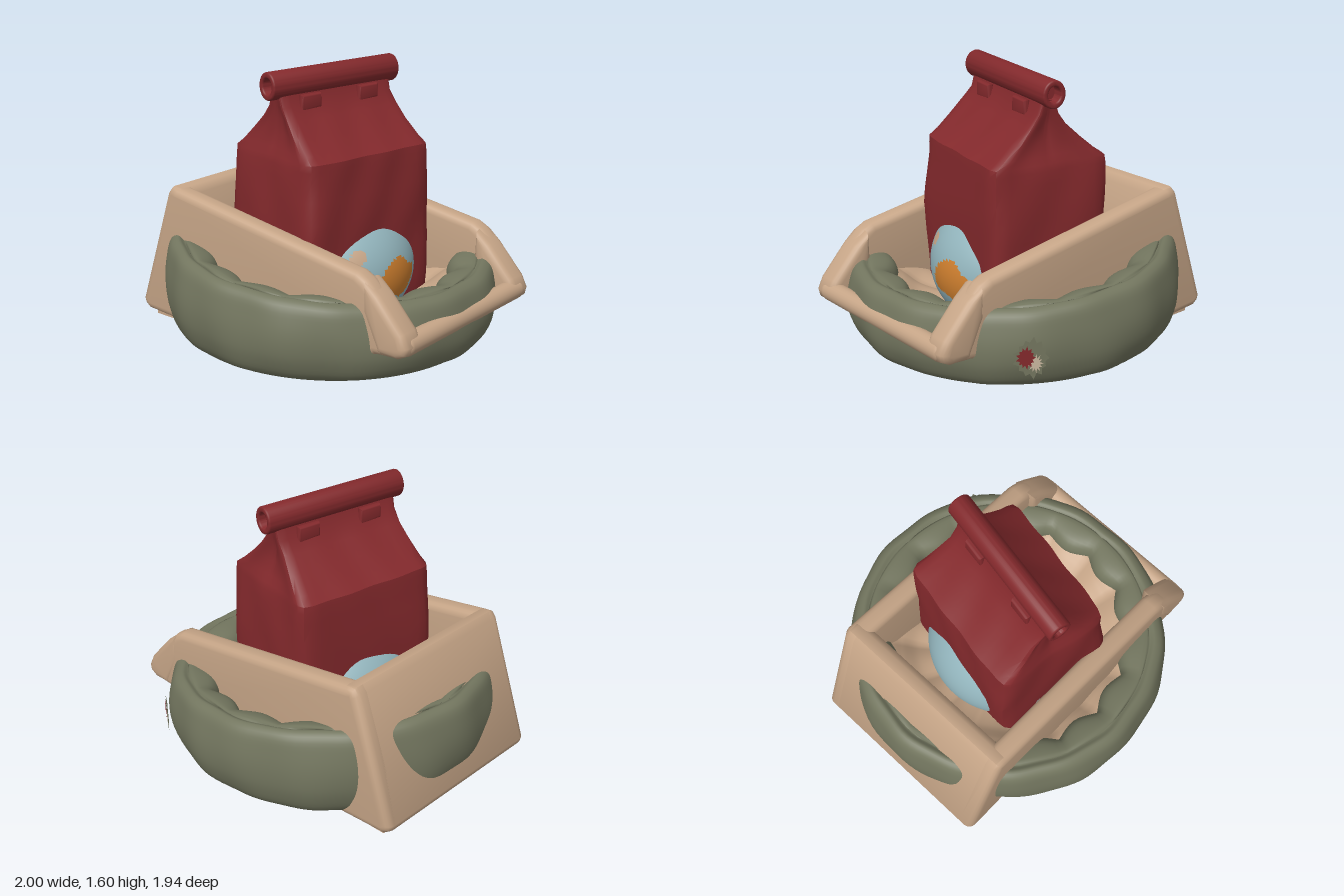
import * as THREE from 'three';
import { mergeVertices, toCreasedNormals } from 'three/addons/utils/BufferGeometryUtils.js';

const mat = (name, color) => {
  const m = new THREE.MeshStandardMaterial({ color, side: THREE.DoubleSide });
  m.name = name;
  return m;
};

export function createModel() {
  const olive = mat('olive cloth', 0x73765f);
  const tan = mat('tan card', 0xc6a587);
  const red = mat('dark red paper', 0x83292c);
  const blue = mat('pale blue', 0x92b4bc);
  const orange = mat('orange', 0xd0802f);
  const cream = mat('cream lining', 0xc9b79f);

  const model = new THREE.Group();
  const add = (name, geo, material, parent = model) => {
    const mesh = new THREE.Mesh(geo, material);
    mesh.name = name;
    parent.add(mesh);
    return mesh;
  };

  // Lathe a smooth profile, then move its vertices by a rule
  const softLathe = (profile, rule) => {
    const curve = new THREE.CatmullRomCurve3(profile.map(([r, y]) => new THREE.Vector3(r, y, 0)), false, 'centripetal');
    const pts = curve.getPoints(56).map(p => new THREE.Vector2(Math.max(0, p.x), p.y));
    let geo = new THREE.LatheGeometry(pts, 128);
    const pos = geo.attributes.position;
    for (let i = 0; i < pos.count; i++) {
      const x = pos.getX(i), y = pos.getY(i), z = pos.getZ(i);
      const r = Math.hypot(x, z), a = Math.atan2(x, z);
      const [r2, y2] = rule(r, y, a);
      const nx = r2 * Math.sin(a) * 1.02;
      // The rim is lower towards +x
      pos.setXYZ(i, nx, y2 - 0.08 * nx * y2 / 0.55, r2 * Math.cos(a));
    }
    geo.deleteAttribute('normal');
    geo.deleteAttribute('uv');
    geo = mergeVertices(geo, 1e-4);
    geo.computeVertexNormals();
    return geo;
  };

  // Padded round bed with a scalloped inner rim
  add('bedCushion', softLathe(
    [[0, 0.02], [0.4, 0.02], [0.78, 0.022], [0.9, 0.06], [0.955, 0.17], [0.97, 0.29], [0.955, 0.415],
      [0.925, 0.505], [0.88, 0.532], [0.845, 0.515], [0.81, 0.52], [0.745, 0.485], [0.715, 0.4], [0.735, 0.27]],
    (r, y, a) => {
      if (y < 0.05) return [r, y];
      if (y > 0.25 && r < 0.84) {
        const lobe = Math.abs(Math.sin(8 * a));
        return [r - 0.045 * lobe * (0.84 - r) / 0.1 + 0.015, y + 0.01 * lobe];
      }
      const fold = Math.sin(17 * a + 5 * y) * 0.004 + Math.sin(9 * a - 7 * y) * 0.004;
      return [r + fold, y];
    }), olive);

  // Bowl-shaped lining with radial creases
  add('bedLining', softLathe(
    [[0.8, 0.41], [0.72, 0.39], [0.65, 0.34], [0.55, 0.26], [0.35, 0.2], [0, 0.18]],
    (r, y, a) => [r, y + 0.035 * Math.abs(Math.sin(8 * a)) * Math.min(1, r / 0.6)]), tan);

  // Card tray: extruded outlines with soft edges
  const slab = (outline, depth, bevel) => {
    const shape = new THREE.Shape(outline.map(([x, y]) => new THREE.Vector2(x, y)));
    const geo = new THREE.ExtrudeGeometry(shape, {
      depth: depth - 2 * bevel, bevelEnabled: true, bevelThickness: bevel,
      bevelSize: bevel, bevelOffset: -bevel, bevelSegments: 4,
    });
    geo.translate(0, 0, bevel - depth / 2);
    return toCreasedNormals(geo, 0.9);
  };
  const tray = new THREE.Group();
  tray.name = 'cardTray';
  model.add(tray);
  for (const side of [1, -1]) {
    add('traySide', slab(
      [[-1, 0.11], [-0.99, 0.075], [-0.95, 0.045], [-0.6, 0.025], [0.6, 0.03], [0.79, 0.225], [0.93, 0.235],
        [0.985, 0.27], [0.99, 0.32], [0.79, 0.56], [0.72, 0.625], [0.66, 0.655], [-0.67, 0.86], [-0.72, 0.865],
        [-0.75, 0.83]],
      0.13, 0.045), tan, tray).position.z = 0.545 * side;
    // Thicker front corner
    add('trayCorner', slab([[0.8, 0.235], [0.93, 0.235], [0.985, 0.265], [0.995, 0.31], [0.96, 0.38], [0.8, 0.555],
      [0.71, 0.625], [0.7, 0.45]], 0.17, 0.045), tan, tray).position.z = 0.53 * side;
  }
  add('trayBack', slab(
    [[-1, 0.11], [-0.99, 0.075], [-0.95, 0.045], [-0.64, 0.025], [-0.62, 0.82], [-0.66, 0.86], [-0.72, 0.865],
      [-0.75, 0.83]],
    1.2, 0.035), tan, tray);
  const bar = add('trayFrontBar', new THREE.CapsuleGeometry(0.06, 1.06, 8, 24), tan, tray);
  bar.rotation.x = Math.PI / 2;
  bar.position.set(0.938, 0.3, 0);
  const base = (x, z, w, d) =>
    add('trayBase', new THREE.BoxGeometry(w, 0.02, d), tan, tray).position.set(x, 0.022, z);
  base(-0.66, 0, 0.52, 1.12);
  base(0.42, 0.03, 0.18, 0.66);

  // Ball: painted patches are triangle groups
  const ballGeo = new THREE.SphereGeometry(1, 112, 80).toNonIndexed();
  const src = ['position', 'normal'].map(k => ballGeo.attributes[k].array);
  const bins = [[], [], []];
  const spotO = new THREE.Vector3(0.98, -0.03, -0.02), spotT = new THREE.Vector3(0.79, 0.38, 0.5);
  for (let t = 0; t < src[0].length; t += 9) {
    const c = new THREE.Vector3();
    for (let k = 0; k < 9; k += 3) c.add(new THREE.Vector3().fromArray(src[0], t + k));
    c.divideScalar(3);
    const wob = 0.035 * Math.sin(13 * c.z + 9 * c.y);
    const inOrange = Math.hypot(c.y - spotO.y, (c.z - spotO.z) * 0.8) < 0.27 + wob && c.x > 0;
    bins[inOrange ? 1 : c.distanceTo(spotT) < 0.1 + wob * 0.4 ? 2 : 0].push(t);
  }
  const sorted = new THREE.BufferGeometry();
  ['position', 'normal'].forEach((key, n) => {
    const out = bins.flat().flatMap(t => Array.from(src[n].slice(t, t + 9)));
    sorted.setAttribute(key, new THREE.Float32BufferAttribute(out, 3));
  });
  let start = 0;
  bins.forEach((b, i) => { sorted.addGroup(start, b.length * 3, i); start += b.length * 3; });
  const ball = add('ball', sorted, [blue, orange, tan]);
  ball.scale.set(0.495, 0.42, 0.485);
  ball.position.y = 0.422;

  // Paper bag: lofted rounded rectangles [y, half width, half depth, gusset]
  const bag = new THREE.Group();
  bag.name = 'paperBag';
  bag.rotation.y = -0.19;
  model.add(bag);
  const rings = [[0.006, 0, 0, 0], [0.006, 0.33, 0.45, 0], [0.05, 0.35, 0.46, 0], [0.35, 0.376, 0.462, 0],
    [0.55, 0.382, 0.462, 0], [0.7, 0.38, 0.462, 0], [0.8, 0.376, 0.462, 0], [0.92, 0.37, 0.46, 0.01],
    [1.02, 0.364, 0.455, 0.02], [1.09, 0.364, 0.452, 0.03], [1.13, 0.36, 0.45, 0.05], [1.17, 0.305, 0.44, 0.08],
    [1.25, 0.215, 0.425, 0.1], [1.33, 0.132, 0.41, 0.08], [1.4, 0.07, 0.405, 0.04], [1.48, 0.045, 0.405, 0],
    [1.5, 0, 0, 0]];
  const N = 80, verts = [], index = [];
  rings.forEach(([y, hx, hz, g], j) => {
    for (let i = 0; i < N; i++) {
      const a = i / N * Math.PI * 2, c = Math.cos(a), s = Math.sin(a);
      const m = (Math.abs(c) ** 12 + Math.abs(s) ** 12) ** (1 / 12);
      const u = c / m, v = s / m;
      const dent = y > 0.2 && y < 1.35 ? 0.009 * Math.sin(9 * y + 5 * v) * Math.cos(6 * u + 4 * v) : 0;
      verts.push(u * (hx + dent), y, v * (hz + dent) * (1 - g * (1 - Math.abs(u))));
      if (j) {
        const p = (j - 1) * N + i, q = (j - 1) * N + (i + 1) % N;
        index.push(p, p + N, q, q, p + N, q + N);
      }
    }
  });
  const bagGeo = new THREE.BufferGeometry();
  bagGeo.setAttribute('position', new THREE.Float32BufferAttribute(verts, 3));
  bagGeo.setIndex(index);
  add('bagBody', toCreasedNormals(bagGeo, 0.75), red, bag);

  // Ball and paper showing through underneath
  const ballBase = add('ballBase', new THREE.CylinderGeometry(0.26, 0.26, 0.003, 40), blue, bag);
  ballBase.position.set(0, 0.0035, 0);
  ballBase.scale.x = 1.22;
  add('bagBaseFold', new THREE.BoxGeometry(0.16, 0.003, 0.24), red, bag).position.set(-0.04, 0.0016, 0.17);

  // Rolled top, hollow at both ends
  const ring = new THREE.Shape().absarc(0, 0, 0.08, 0, Math.PI * 2);
  ring.holes.push(new THREE.Path().absarc(0, 0, 0.045, 0, Math.PI * 2, true));
  const rollGeo = new THREE.ExtrudeGeometry(ring, {
    depth: 0.9, bevelThickness: 0.01, bevelSize: 0.01, bevelOffset: -0.01, bevelSegments: 2, curveSegments: 32,
  });
  rollGeo.translate(0, 0, -0.45);
  const roll = add('bagRoll', toCreasedNormals(rollGeo, 0.8), red, bag);
  roll.position.y = 1.52;
  roll.scale.x = 0.88;
  const core = add('rollCore', new THREE.CylinderGeometry(0.047, 0.047, 0.78, 20), red, bag);
  core.rotation.x = Math.PI / 2;
  core.position.y = 1.52;
  const dot = add('rollDot', new THREE.CylinderGeometry(0.02, 0.02, 0.008, 12), cream, bag);
  dot.rotation.x = Math.PI / 2;
  dot.position.set(0, 1.525, 0.394);

  // Folded tabs under the roll
  const tabShape = slab([[-0.075, -0.045], [0.075, -0.035], [0.07, 0.05], [-0.07, 0.05]], 0.045, 0.018);
  for (const sx of [1, -1]) for (const sz of [1, -1]) {
    const tab = add('bagTab', tabShape, red, bag);
    tab.rotation.y = sx * Math.PI / 2;
    tab.position.set(sx * 0.068, 1.41, sz * 0.21);
  }

  // Ragged tear in the cushion wall
  const ragged = (r, jag) => new THREE.ShapeGeometry(new THREE.Shape(Array.from({ length: 26 }, (_, i) => {
    const a = i / 26 * Math.PI * 2, k = r * (i % 2 ? 1 - jag : 1 + 0.1 * Math.sin(i * 2.3));
    return new THREE.Vector2(Math.cos(a) * k, Math.sin(a) * k * 1.2);
  })));
  const tear = new THREE.Group();
  tear.name = 'cushionTear';
  tear.position.set(0.566, 0.25, -0.82);
  tear.rotation.y = Math.atan2(0.566, -0.82);
  model.add(tear);
  add('tearCloth', ragged(0.095, 0.2), olive, tear);
  add('tearEdge', ragged(0.045, 0.45), cream, tear).position.set(0.02, -0.03, 0.003);
  add('tearInside', ragged(0.052, 0.3), red, tear).position.set(-0.03, 0.005, 0.006);

  return model;
}
